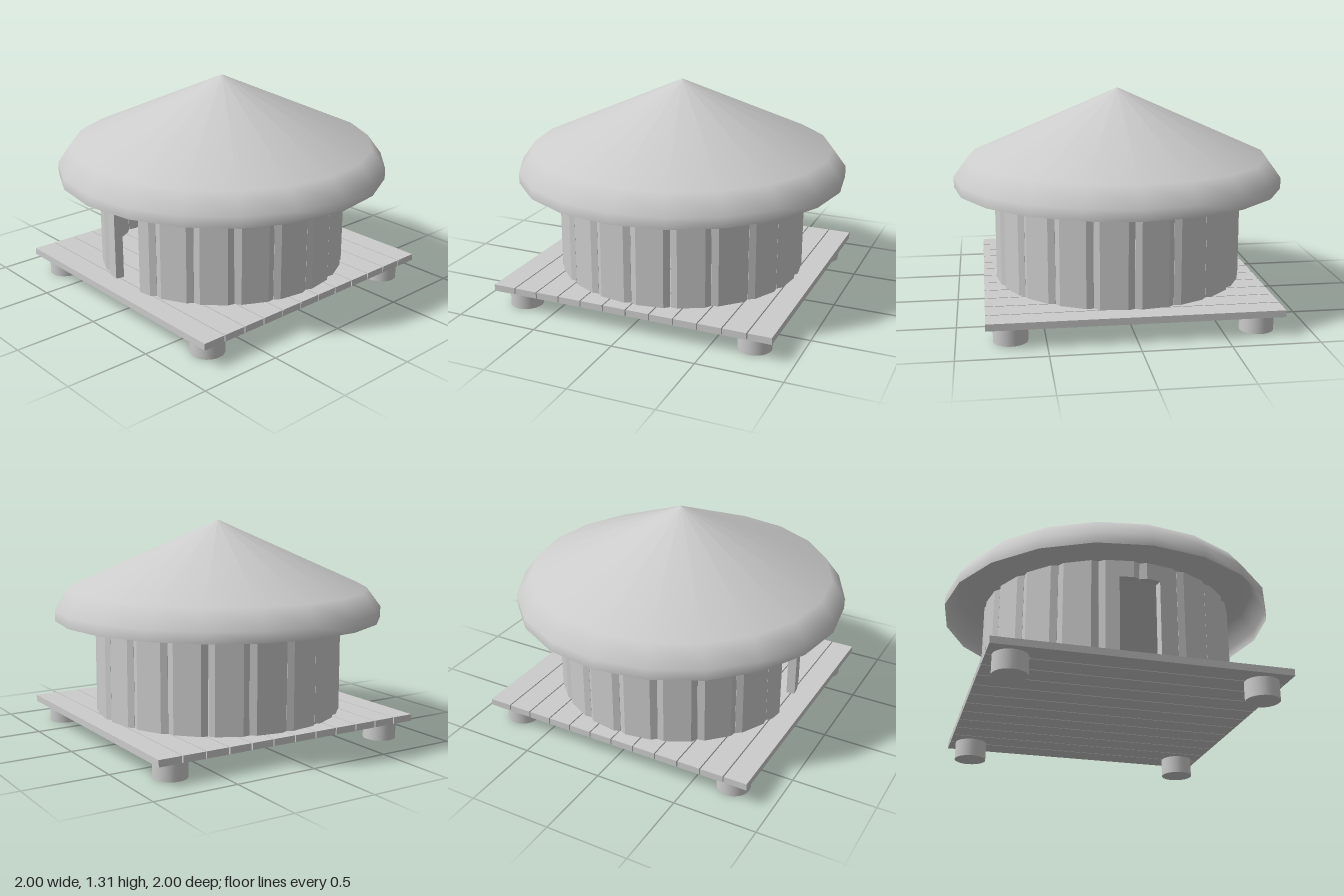
import * as THREE from 'three';

const grey = new THREE.MeshStandardMaterial({ color: 0xcccccc });
const greyDouble = new THREE.MeshStandardMaterial({ color: 0xcccccc, side: THREE.DoubleSide });

const FLOOR = 0.15, WALL_TOP = 0.75, DOOR_TOP = 0.65, PANELS = 20;

function add(parent, name, geometry, x = 0, y = 0, z = 0, material = grey) {
  const mesh = new THREE.Mesh(geometry, material);
  mesh.name = name;
  mesh.position.set(x, y, z);
  parent.add(mesh);
  return mesh;
}

// Half of a wall panel's chamfered plan: [distance along the wall, distance from the axis]
const halfPlan = [[0, 0.752], [0.08, 0.752], [0.115, 0.73], [0.111, 0.716], [0.066, 0.7], [0, 0.7]];

// Extruded wall panel; side 0 is the full width, 1 or -1 only that half
function panelGeometry(side, bottom, top) {
  const right = halfPlan.map(([t, r]) => new THREE.Vector2(t, -r));
  const left = halfPlan.map(([t, r]) => new THREE.Vector2(-t, -r));
  const points = side > 0 ? right
    : side < 0 ? left
    : [...right.slice(1, -1), ...left.slice(1, -1).reverse()];
  const geometry = new THREE.ExtrudeGeometry(new THREE.Shape(points), { depth: top - bottom, bevelEnabled: false });
  geometry.rotateX(-Math.PI / 2);
  geometry.translate(0, bottom, 0);
  return geometry;
}

export function createModel() {
  const model = new THREE.Group();
  model.name = 'roundHut';

  // Roof: open shell with a short vertical rim
  const roofProfile = [[1, 0.72], [1, 0.785], [0.915, 0.9], [0, 1.31]].map(([r, y]) => new THREE.Vector2(r, y));
  add(model, 'roof', new THREE.LatheGeometry(roofProfile, 20), 0, 0, 0, greyDouble);

  // Wall: ring of upright panels, with a doorway cut between the two front centres
  const wall = new THREE.Group();
  wall.name = 'wall';
  model.add(wall);
  for (let i = 0; i < PANELS; i++) {
    const angle = ((i + 0.5) / PANELS) * Math.PI * 2;
    const doorSide = i === 0 ? 1 : i === PANELS - 1 ? -1 : 0;
    if (doorSide) {
      add(wall, 'doorSidePanel', panelGeometry(doorSide, FLOOR, DOOR_TOP)).rotation.y = angle;
      add(wall, 'doorLintel', panelGeometry(0, DOOR_TOP, WALL_TOP)).rotation.y = angle;
    } else {
      add(wall, 'wallPanel', panelGeometry(0, FLOOR, WALL_TOP)).rotation.y = angle;
    }
  }

  // Floor: planks running across, with narrow gaps
  const floor = new THREE.Group();
  floor.name = 'floor';
  model.add(floor);
  const pitch = 0.1455;
  const plank = new THREE.BoxGeometry(1.67, 0.04, pitch - 0.007);
  for (let i = 0; i < 12; i++) {
    add(floor, 'floorPlank', plank, 0, 0.13, -0.008 + (i - 5.5) * pitch);
  }

  // Short round feet at the corners
  const foot = new THREE.CylinderGeometry(0.098, 0.098, 0.11, 24);
  for (const x of [-0.703, 0.697]) {
    for (const z of [-0.737, 0.724]) add(model, 'foot', foot, x, 0.055, z);
  }

  return model;
}
